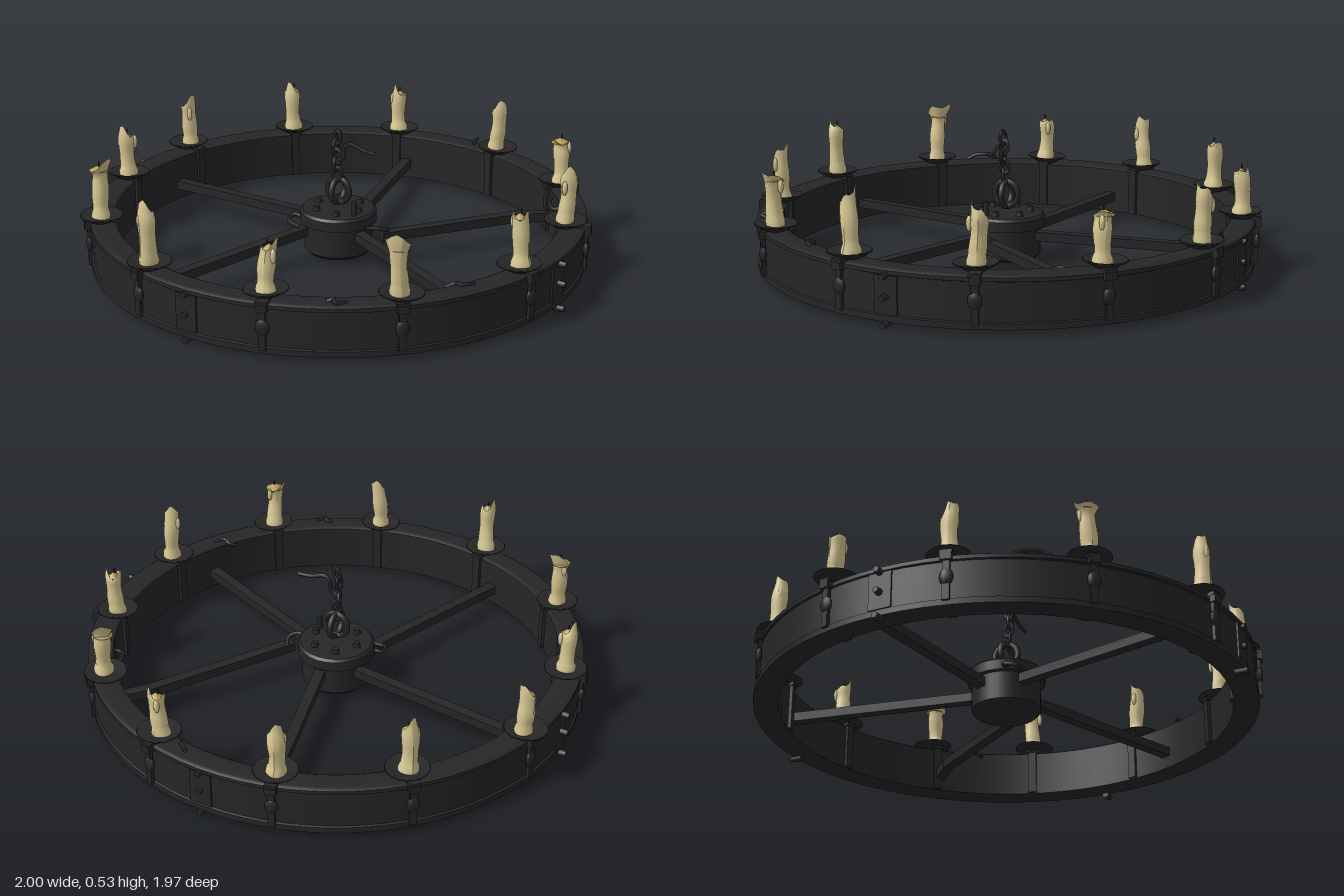
import * as THREE from 'three';

const V = (x, y, z) => new THREE.Vector3(x, y, z);

export function createModel() {
  const iron = new THREE.MeshStandardMaterial({ color: 0x262626 });
  iron.name = 'black iron';
  const wax = new THREE.MeshStandardMaterial({ color: 0xd9c994 });
  wax.name = 'candle wax';
  const meltedWax = new THREE.MeshStandardMaterial({ color: 0xb59a58 });
  meltedWax.name = 'melted wax';

  const model = new THREE.Group();
  model.name = 'wheelChandelier';

  const add = (parent, name, geometry, material, x = 0, y = 0, z = 0) => {
    const mesh = new THREE.Mesh(geometry, material);
    mesh.name = name;
    mesh.position.set(x, y, z);
    parent.add(mesh);
    return mesh;
  };
  const lathe = (points, segments) =>
    new THREE.LatheGeometry(points.map(([r, y]) => new THREE.Vector2(r, y)), segments);
  const wire = (points, radius) =>
    new THREE.TubeGeometry(new THREE.CatmullRomCurve3(points.map((p) => V(...p))), 14, radius, 6);

  // Wheel rim: closed profile, doubled corner points keep the edges sharp
  const rimProfile = [
    [0.875, 0.025], [0.96, 0.02], [0.96, 0.02], [0.973, 0.022], [0.973, 0.022], [0.973, 0.045],
    [0.973, 0.045], [0.965, 0.048], [0.965, 0.048], [0.965, 0.19], [0.965, 0.19], [0.973, 0.193],
    [0.973, 0.193], [0.973, 0.208], [0.973, 0.208], [0.96, 0.216], [0.89, 0.216],
    [0.875, 0.208], [0.875, 0.208], [0.875, 0.025],
  ];
  add(model, 'wheelRim', lathe(rimProfile, 72), iron);

  // Hub drum with a raised lid band and bolts
  const hub = new THREE.Group();
  hub.name = 'hub';
  model.add(hub);
  add(hub, 'hubDrum', lathe([
    [0, 0.025], [0.12, 0.025], [0.135, 0.04], [0.135, 0.04], [0.135, 0.15], [0.135, 0.15],
    [0.152, 0.153], [0.152, 0.153], [0.152, 0.193], [0.152, 0.193], [0.142, 0.203],
    [0.142, 0.203], [0, 0.206],
  ], 28), iron);
  for (let i = 0; i < 6; i++) {
    const a = (i / 6) * Math.PI * 2 + 0.5;
    add(hub, 'hubBolt', new THREE.CylinderGeometry(0.012, 0.016, 0.02, 8), iron,
      Math.sin(a) * 0.095, 0.212, Math.cos(a) * 0.095);
  }
  add(hub, 'hubPin', new THREE.CylinderGeometry(0.01, 0.012, 0.06, 8), iron, 0.1, 0.23, 0.04);

  // Square spokes, one of them bent out of place
  const bar = (a, b) => {
    const from = V(...a), to = V(...b);
    const mesh = add(model, 'spoke', new THREE.BoxGeometry(0.042, 0.036, from.distanceTo(to)), iron);
    mesh.position.copy(from).add(to).multiplyScalar(0.5);
    mesh.lookAt(to);
  };
  bar([0, 0.12, -0.12], [-0.215, 0.09, -0.88]);
  bar([0.12, 0.12, 0.04], [0.88, 0.09, 0.375]);
  bar([-0.085, 0.12, 0.11], [-0.3, 0.09, 0.86]);
  bar([-0.11, 0.12, -0.045], [-0.89, 0.09, -0.093]);
  bar([0.195, 0.12, -0.01], [0.53, 0.1, -0.55]);
  bar([0.525, 0.1, -0.54], [0.63, 0.09, -0.65]);

  // Crossed shackles, twisted chain and loose hook
  const chain = new THREE.Group();
  chain.name = 'chain';
  model.add(chain);
  for (const turn of [0, Math.PI / 2]) {
    add(chain, 'shackle', new THREE.TorusGeometry(0.05, 0.012, 8, 24), iron, 0, 0.275, 0)
      .rotation.y = turn;
  }
  for (let i = 0; i < 5; i++) {
    const link = add(chain, 'chainLink', new THREE.TorusGeometry(0.017, 0.0065, 6, 14), iron,
      (i % 2 ? -0.006 : 0.004), 0.345 + i * 0.038, 0.012);
    link.scale.y = 1.6;
    link.rotation.set(0, i * 1.4 + 0.4, (i % 2 ? 0.18 : -0.15));
  }
  add(chain, 'looseHook', wire([[0, 0.4, 0.012], [0.03, 0.42, 0.01], [0.035, 0.465, 0.008],
    [0.06, 0.477, 0.005], [0.11, 0.462, 0], [0.17, 0.455, 0]], 0.008), iron);

  // Candle with a wavering body, optional flared head and a broken, lopsided top
  const candleGeometry = (height, seed, flare) => {
    const rows = 12, sides = 14;
    const geometry = new THREE.CylinderGeometry(1, 1, 1, sides, rows, true);
    const p = geometry.attributes.position;
    for (let i = 0; i < p.count; i++) {
      const t = p.getY(i) + 0.5;
      const a = Math.atan2(p.getX(i), p.getZ(i));
      let r = 0.031 + 0.0025 * Math.sin(a * 3 + seed + t * 4) + 0.002 * Math.sin(t * 11 + seed * 2);
      if (t < 0.1) r += 0.006;
      if (t > 0.75) r += (t - 0.75) * (flare ? 0.07 : -0.015);
      const rise = Math.pow(t, 6) * 0.026 * (Math.cos(a - seed * 2) + 0.4 * Math.sin(a * 3 + seed) - 0.9);
      const sway = 0.006 * Math.sin(t * 3 + seed);
      p.setXYZ(i, Math.sin(a) * r + sway, t * height + rise, Math.cos(a) * r + sway * Math.cos(seed));
    }
    geometry.computeVertexNormals();
    return geometry;
  };

  const candles = [
    // x, z, tip height, flared
    [-0.26, -0.875, 0.445, 0], [0.22, -0.89, 0.445, 0], [0.63, -0.67, 0.455, 1],
    [0.845, -0.295, 0.45, 0], [0.9, 0.18, 0.47, 0], [0.675, 0.635, 0.46, 1],
    [0.28, 0.86, 0.445, 0], [-0.22, 0.9, 0.475, 0], [-0.66, 0.65, 0.475, 1],
    [-0.88, 0.23, 0.445, 0], [-0.915, -0.22, 0.445, 0], [-0.655, -0.63, 0.455, 0],
  ];
  candles.forEach(([x, z, top, flare], i) => {
    const holder = new THREE.Group();
    holder.name = 'candleHolder';
    holder.rotation.y = Math.atan2(x, z);
    model.add(holder);
    const r = Math.hypot(x, z);

    // Drip dish and the clamp gripping the rim
    const dish = add(holder, 'dripDish', lathe([[0, 0.212], [0.035, 0.212], [0.06, 0.228],
      [0.083, 0.24], [0.08, 0.245], [0.05, 0.235], [0, 0.23]], 18), iron, 0, 0, r);
    dish.rotation.z = Math.sin(i * 2.3) * 0.04;
    add(holder, 'clampTop', new THREE.BoxGeometry(0.045, 0.014, 0.135), iron, 0, 0.218, 0.925);
    add(holder, 'outerStrap', new THREE.BoxGeometry(0.026, 0.18, 0.014), iron, 0, 0.128, 0.977);
    add(holder, 'innerStrap', new THREE.BoxGeometry(0.034, 0.19, 0.014), iron, 0, 0.123, 0.868);
    const knob = add(holder, 'strapKnob', new THREE.SphereGeometry(0.026, 10, 8), iron, 0, 0.125, 0.978);
    knob.scale.set(1, 1.3, 0.5);
    add(holder, 'clampTab', new THREE.BoxGeometry(0.042, 0.028, 0.024), iron, 0, 0.2, 0.983);

    // Candle, its melted pool, a drip and the wick
    const base = 0.228, height = top - base, seed = i * 1.7 + 0.6;
    add(holder, 'candle', candleGeometry(height, seed, flare), wax, 0, base, r);
    const pool = add(holder, 'candleTop', new THREE.ConeGeometry(flare ? 0.038 : 0.024, 0.02, 12),
      meltedWax, 0.006 * Math.sin(3 + seed), top - 0.045, r + 0.006 * Math.sin(3 + seed) * Math.cos(seed));
    pool.rotation.y = seed;
    const drip = add(holder, 'waxDrip', new THREE.SphereGeometry(0.011, 8, 6), wax,
      Math.sin(seed * 3) * 0.031, top - 0.075, r + Math.cos(seed * 3) * 0.031);
    drip.scale.y = 2.6;
    add(holder, 'wick', new THREE.CylinderGeometry(0.003, 0.003, 0.02, 5), iron, 0, top - 0.03, r);
  });

  // Rim joint plates and nails on the four axes
  for (let i = 0; i < 4; i++) {
    const joint = new THREE.Group();
    joint.name = 'rimJoint';
    joint.rotation.y = (i * Math.PI) / 2;
    model.add(joint);
    add(joint, 'jointPlate', new THREE.BoxGeometry(0.09, 0.14, 0.008), iron, 0, 0.119, 0.966);
    const reach = i % 2 ? 1 : 0.985;
    for (const y of [0.014, 0.112, 0.19]) {
      add(joint, 'jointNail', new THREE.CylinderGeometry(0.012, 0.014, 0.05, 8), iron, 0, y, reach - 0.025)
        .rotation.x = Math.PI / 2;
    }
  }

  // Bent nails and scraps of wire caught on the wheel
  [
    [[0.65, 0.2, -0.56], [0.665, 0.2, -0.51], [0.7, 0.19, -0.48], [0.735, 0.2, -0.495]],
    [[0.74, 0.2, 0.43], [0.77, 0.215, 0.41], [0.8, 0.22, 0.42], [0.83, 0.215, 0.38]],
    [[-0.13, 0.16, 0.07], [-0.165, 0.16, 0.07], [-0.155, 0.15, 0.12], [-0.09, 0.14, 0.135]],
    [[0.14, 0.15, 0.02], [0.19, 0.16, 0.02], [0.215, 0.15, -0.01], [0.2, 0.13, -0.05]],
    [[0.48, 0.216, 0.79], [0.5, 0.226, 0.78], [0.52, 0.222, 0.8], [0.54, 0.214, 0.76]],
    [[-0.84, 0.216, 0.45], [-0.81, 0.237, 0.47], [-0.78, 0.235, 0.53], [-0.77, 0.216, 0.56]],
    [[0.09, 0.21, -0.92], [0.1, 0.235, -0.92], [0.11, 0.245, -0.92], [0.115, 0.25, -0.92]],
  ].forEach((points) => add(model, 'bentNail', wire(points, 0.008), iron));

  return model;
}
